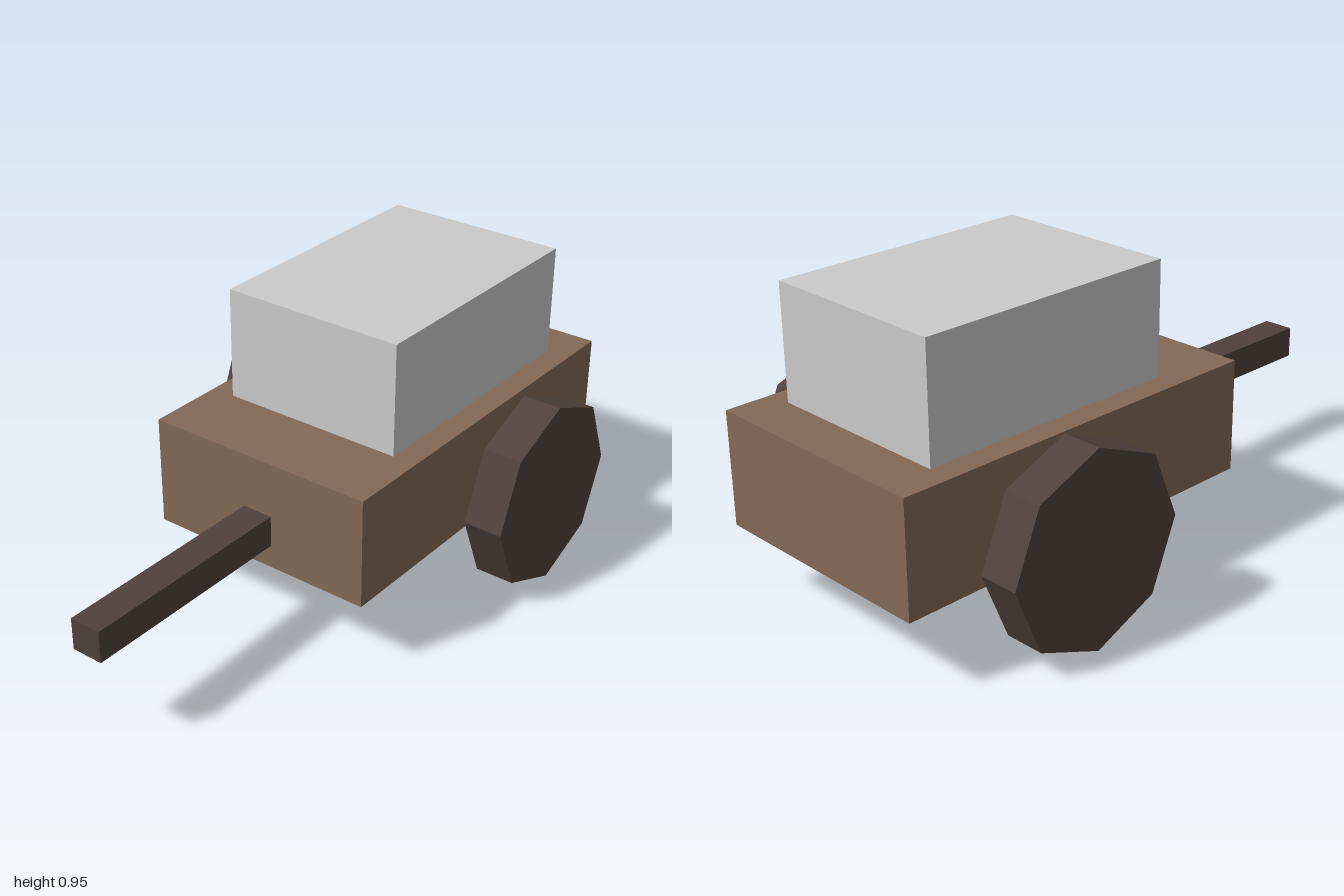
import * as THREE from 'three';

const paint = (name, color) => {
  const material = new THREE.MeshStandardMaterial({ color });
  material.name = name;
  return material;
};

export function createModel() {
  const group = new THREE.Group();
  const wood = paint('brown wood', 0x846956);
  const darkWood = paint('dark wood', 0x50413c);
  const grey = paint('light grey', 0xcbcbcb);

  const add = (name, geometry, material, x, y, z) => {
    const mesh = new THREE.Mesh(geometry, material);
    mesh.name = name;
    mesh.position.set(x, y, z);
    group.add(mesh);
  };

  // Cart bed, load and drawbar
  add('cartBed', new THREE.BoxGeometry(0.77, 0.358, 1.282), wood, 0, 0.411, -0.359);
  add('cargo', new THREE.BoxGeometry(0.614, 0.362, 0.872), grey, 0, 0.771, -0.41);
  add('drawbar', new THREE.BoxGeometry(0.102, 0.102, 0.718), darkWood, 0, 0.36, 0.641);

  // Eight-sided wheels, each with a corner pointing up; toNonIndexed keeps the facets flat
  const wheel = new THREE.CylinderGeometry(0.308, 0.308, 0.128, 8).rotateZ(Math.PI / 2).toNonIndexed();
  wheel.computeVertexNormals();
  for (const side of [1, -1]) {
    add(side > 0 ? 'leftWheel' : 'rightWheel', wheel, darkWood, side * 0.499, 0.308, -0.487);
  }

  return group;
}
